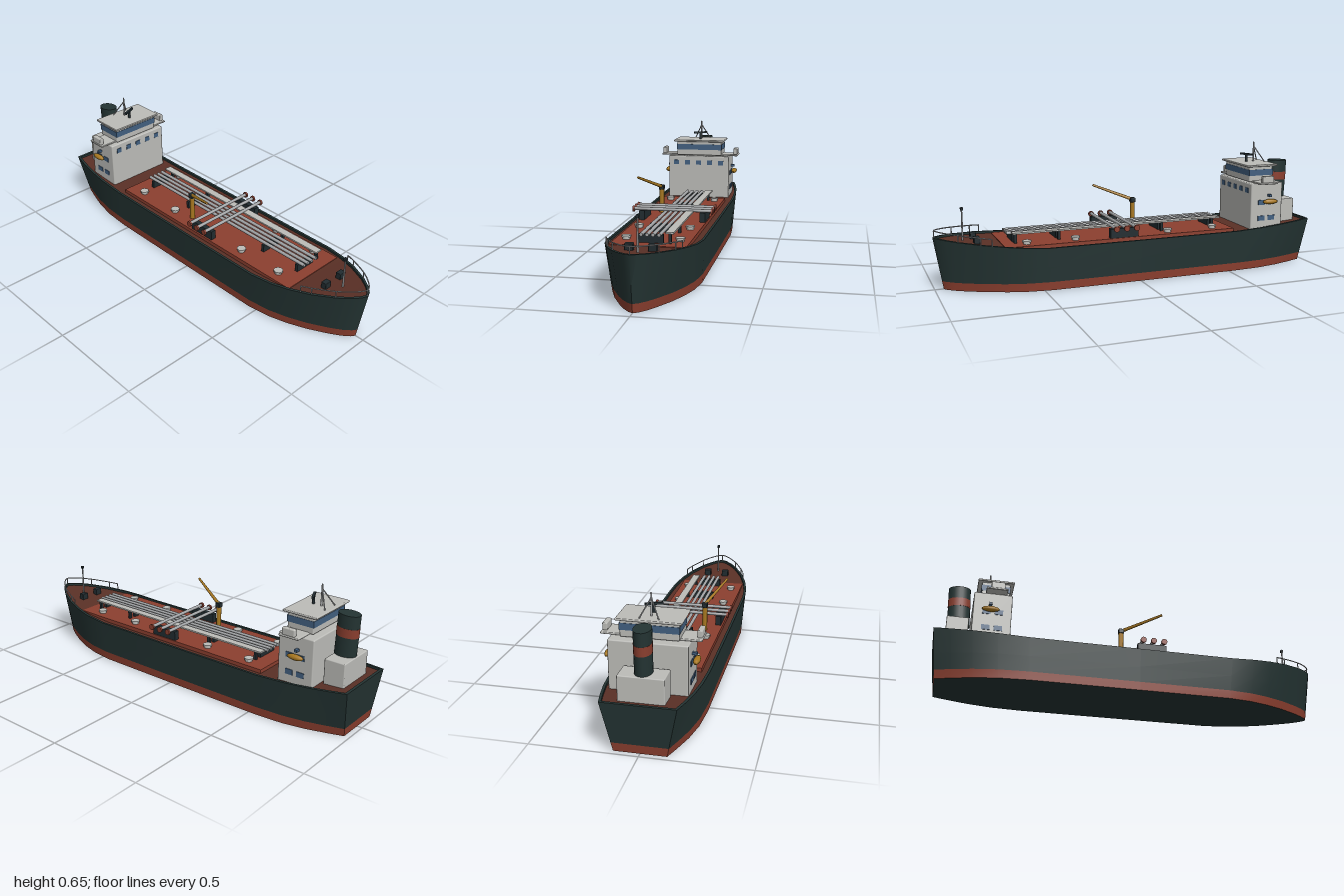
import * as THREE from 'three';
import { toCreasedNormals } from 'three/addons/utils/BufferGeometryUtils.js';
import { RoundedBoxGeometry } from 'three/addons/geometries/RoundedBoxGeometry.js';

const paint = (name, color) => Object.assign(new THREE.MeshStandardMaterial({ color }), { name });
const M = {
  hull: paint('hull dark green', 0x243433),
  red: paint('oxide red', 0x8c3f2f),
  deck: paint('deck brown', 0x5a3026),
  white: paint('house grey white', 0xbcbcb8),
  glass: paint('window blue', 0x426080),
  pipe: paint('pipe grey', 0xa4a6a8),
  gold: paint('crane yellow', 0xa87820),
  dark: paint('fitting black', 0x212c30),
};

// Half widths from bow to stern: [z, at rail, at keel]
const STATIONS = [
  [1, 0, 0], [0.985, 0.03, 0.022], [0.95, 0.066, 0.05], [0.9, 0.104, 0.08], [0.8, 0.157, 0.13],
  [0.7, 0.192, 0.168], [0.6, 0.214, 0.195], [0.48, 0.223, 0.21], [0, 0.224, 0.211], [-0.55, 0.223, 0.21],
  [-0.7, 0.218, 0.2], [-0.82, 0.206, 0.177], [-0.92, 0.188, 0.147], [-1, 0.17, 0.12],
];
const BOOT = 0.042;
const sheer = (z) => 0.214 + (z > 0.5 ? 0.048 * ((z - 0.5) / 0.5) ** 1.1 : z < -0.5 ? 0.027 * ((-z - 0.5) / 0.5) ** 1.3 : 0);

// One side of the hull outline at a height fraction (0 keel, 1 rail)
function side(sign, yOf, inset = false) {
  return STATIONS.map(([z, top, keel]) => {
    const y = yOf(z), t = Math.min(1, y / sheer(z));
    const rake = THREE.MathUtils.lerp(z > 0 ? 0.956 : 0.974, 1, t);
    if (inset) return [sign * top * 0.945, y, z * 0.986];
    return [sign * THREE.MathUtils.lerp(keel, top, t), y, z * rake];
  });
}
const ring = (yOf, inset) => [...side(1, yOf, inset), ...side(-1, yOf, inset).reverse()];

// Skin between successive rows of points
function loft(rows) {
  const n = rows[0].length, index = [];
  for (let i = 0; i < rows.length - 1; i++) {
    for (let j = 0; j < n - 1; j++) {
      const a = i * n + j, d = a + n;
      index.push(a, a + 1, d + 1, a, d + 1, d);
    }
  }
  const g = new THREE.BufferGeometry();
  g.setAttribute('position', new THREE.Float32BufferAttribute(rows.flat(2), 3));
  g.setIndex(index);
  return toCreasedNormals(g, 1.0);
}

export function createModel() {
  const model = new THREE.Group();
  model.name = 'tankerShip';

  const add = (name, geometry, material, x = 0, y = 0, z = 0, parent = model) => {
    const mesh = new THREE.Mesh(geometry, material);
    mesh.name = name;
    mesh.position.set(x, y, z);
    parent.add(mesh);
    return mesh;
  };
  // Box given by its ranges on each axis
  const box = (name, mat, [x0, x1], [y0, y1], [z0, z1], round = 0) => {
    const s = [x1 - x0, y1 - y0, z1 - z0];
    const g = round ? new RoundedBoxGeometry(...s, 2, round) : new THREE.BoxGeometry(...s);
    return add(name, g, mat, (x0 + x1) / 2, (y0 + y1) / 2, (z0 + z1) / 2);
  };
  // Round bar between two points
  const bar = (name, mat, from, to, r0, r1 = r0, sides = 10) => {
    const a = new THREE.Vector3(...from), b = new THREE.Vector3(...to);
    const d = b.clone().sub(a), mid = a.add(b).multiplyScalar(0.5);
    const mesh = add(name, new THREE.CylinderGeometry(r1, r0, d.length(), sides), mat, mid.x, mid.y, mid.z);
    mesh.quaternion.setFromUnitVectors(new THREE.Vector3(0, 1, 0), d.normalize());
    return mesh;
  };

  // Hull
  const deckY = (z) => sheer(z) - 0.012;
  add('bootStripe', loft([ring(() => 0), ring(() => BOOT)]), M.red);
  add('hullSides', loft([ring(() => BOOT), ring(() => 0.12), ring(sheer), ring(sheer, true), ring(deckY, true)]), M.hull);
  add('hullBottom', loft([side(-1, () => 0), side(1, () => 0)]), M.hull);
  add('mainDeck', loft([side(1, deckY, true), side(-1, deckY, true)]), M.deck);
  // Transom is closed by the hull rings
  box('cargoDeck', M.red, [-0.18, 0.175], [0.19, 0.222], [-0.54, 0.68]);

  // Cargo piping, with supports and catwalk
  for (const x of [-0.037, -0.01, 0.018, 0.046]) bar('cargoPipe', M.pipe, [x, 0.265, -0.49], [x, 0.265, 0.65], 0.0085);
  box('catwalk', M.white, [0.071, 0.109], [0.268, 0.276], [-0.49, 0.63]);
  for (const z of [0.615, 0.393, -0.16, -0.45]) {
    box('pipeSupport', M.dark, [-0.055, 0.06], [0.22, 0.262], [z - 0.008, z + 0.008]);
    box('catwalkPost', M.dark, [0.083, 0.097], [0.22, 0.269], [z - 0.007, z + 0.007]);
  }
  for (const z of [0.02, 0.073, 0.127]) {
    bar('manifoldPipe', M.pipe, [-0.2, 0.277, z], [0.2, 0.277, z], 0.0085);
    for (const s of [-1, 1]) bar('manifoldFlange', M.red, [s * 0.198, 0.275, z], [s * 0.208, 0.275, z], 0.015, 0.015, 14);
  }
  for (const s of [-1, 1]) {
    box('manifoldStand', M.dark, [s * 0.157 - 0.014, s * 0.157 + 0.014], [0.22, 0.27], [0, 0.147]);
    for (const z of [-0.435, -0.18, 0.318, 0.566]) {
      bar('tankHatch', M.white, [s * 0.127, 0.22, z], [s * 0.127, 0.232, z], 0.018, 0.018, 10);
      bar('hatchLid', M.white, [s * 0.127, 0.232, z], [s * 0.127, 0.24, z], 0.023, 0.023, 10);
    }
  }

  // Deck crane
  bar('cranePost', M.gold, [-0.1, 0.22, -0.073], [-0.1, 0.35, -0.073], 0.013);
  box('craneHead', M.dark, [-0.114, -0.086], [0.345, 0.37], [-0.087, -0.059], 0.004);
  bar('craneBoom', M.gold, [-0.1, 0.36, -0.073], [-0.18, 0.437, 0.125], 0.009, 0.006, 8);

  // Forecastle: mast, windlasses, bow rail
  bar('foremast', M.pipe, [0, 0.23, 0.855], [0, 0.388, 0.855], 0.005, 0.0035);
  box('mastLamp', M.dark, [-0.007, 0.007], [0.386, 0.4], [0.848, 0.862], 0.002);
  for (const s of [-1, 1]) box('windlass', M.dark, [s * 0.053 - 0.019, s * 0.053 + 0.019], [0.22, 0.262], [0.783, 0.812], 0.003);
  const railSide = (s) => STATIONS.slice(0, 5).concat([[0.75, 0.177]])
    .map(([z, w]) => new THREE.Vector3(s * w * 0.97, sheer(z) + 0.033, z * 0.993));
  const left = railSide(1), right = railSide(-1);
  const railCurve = new THREE.CatmullRomCurve3([...left.slice().reverse(), ...right.slice(1)]);
  add('bowRail', new THREE.TubeGeometry(railCurve, 48, 0.003, 6), M.pipe);
  for (const p of [left[0], left[3], left[4], left[5], right[3], right[4], right[5]]) {
    bar('railPost', M.pipe, [p.x, p.y - 0.036, p.z], [p.x, p.y, p.z], 0.003, 0.003, 6);
  }

  // Deckhouse with its windows
  box('deckhouse', M.white, [-0.18, 0.18], [0.19, 0.452], [-0.825, -0.638], 0.006);
  for (let i = -2; i <= 2; i++) {
    const x = i * 0.0665;
    box('frontWindow', M.glass, [x - 0.015, x + 0.015], [0.4, 0.426], [-0.64, -0.635]);
  }
  for (const s of [-1, 1]) {
    for (const z of [-0.7, -0.76]) {
      for (const y of [0.265, 0.35]) {
        box('sideWindow', M.glass, [s * 0.18 - 0.003, s * 0.18 + 0.003], [y - 0.013, y + 0.013], [z - 0.02, z + 0.02]);
      }
    }
    // Lifeboat and its davit
    const boat = add('lifeboat', new THREE.SphereGeometry(1, 10, 6), M.gold, s * 0.2, 0.356, -0.742);
    boat.scale.set(0.016, 0.014, 0.044);
    box('davit', M.glass, [s * 0.19 - 0.012, s * 0.19 + 0.012], [0.381, 0.393], [-0.75, -0.736]);
    // Wing control box
    box('wingBox', M.white, [s * 0.213 - 0.012, s * 0.213 + 0.012], [0.46, 0.496], [-0.747, -0.68], 0.005);
  }

  // Bridge
  box('bridgeWings', M.white, [-0.228, 0.228], [0.452, 0.462], [-0.77, -0.665], 0.004);
  box('bridge', M.white, [-0.133, 0.133], [0.455, 0.537], [-0.79, -0.65], 0.006);
  box('bridgeWindows', M.glass, [-0.135, 0.135], [0.488, 0.52], [-0.792, -0.648]);
  box('bridgeRoof', M.white, [-0.148, 0.148], [0.536, 0.547], [-0.81, -0.63], 0.004);

  // Radar and signal mast
  bar('radarPost', M.dark, [0, 0.545, -0.702], [0, 0.585, -0.702], 0.007);
  box('radarBar', M.dark, [-0.04, 0.04], [0.582, 0.592], [-0.708, -0.696]).rotation.y = 0.42;
  bar('signalMast', M.pipe, [0, 0.545, -0.745], [0, 0.652, -0.745], 0.005, 0.004);
  for (const s of [-1, 1]) bar('mastStay', M.pipe, [s * 0.044, 0.547, -0.79], [0, 0.63, -0.745], 0.003);

  // Funnel, leaning aft
  box('funnelBase', M.white, [-0.105, 0.105], [0.2, 0.345], [-0.945, -0.838], 0.005);
  const funnel = new THREE.Group();
  funnel.name = 'funnel';
  funnel.position.set(0, 0.338, -0.885);
  funnel.rotation.x = -0.045;
  model.add(funnel);
  for (const [name, mat, y0, y1, r] of [['funnelStack', M.hull, 0, 0.21, 1], ['funnelBand', M.red, 0.102, 0.146, 1.02]]) {
    const part = add(name, new THREE.CylinderGeometry(r, r, y1 - y0, 24), mat, 0, (y0 + y1) / 2, 0, funnel);
    part.scale.set(0.04, 1, 0.055);
  }
  return model;
}
